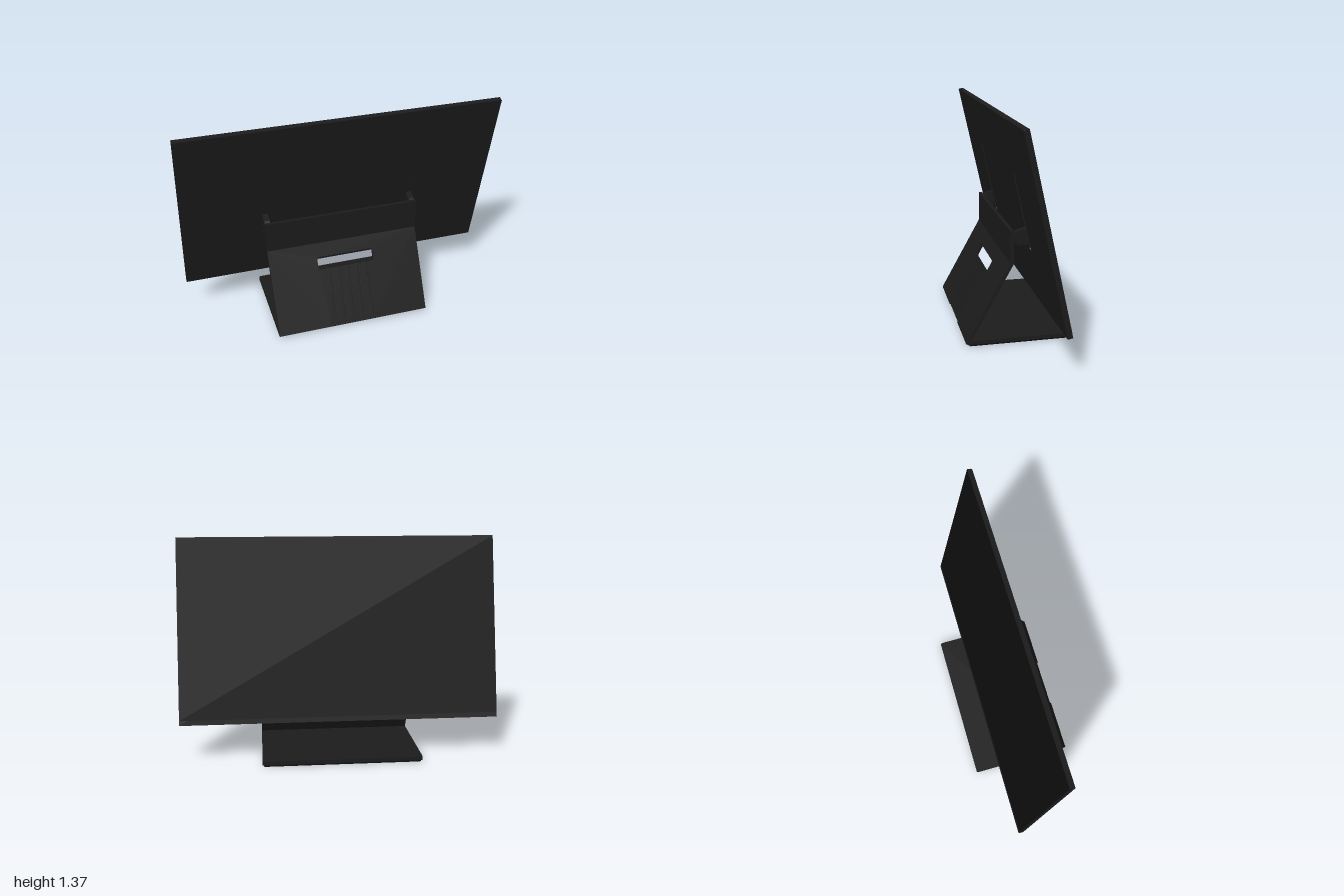
import * as THREE from 'three';

const bodyMat = new THREE.MeshStandardMaterial({ color: 0x1c1c1c });
const darkMat = new THREE.MeshStandardMaterial({ color: 0x0e0e0e });
const HALF = 0.495; // half width of the stand

function add(parent, name, geometry, material, x = 0, y = 0, z = 0) {
  const mesh = new THREE.Mesh(geometry, material);
  mesh.name = name;
  mesh.position.set(x, y, z);
  parent.add(mesh);
  return mesh;
}

// Rounded rectangle path, usable as an outline or a hole
function roundRect(Type, x0, y0, x1, y1, r) {
  const p = new Type();
  p.moveTo(x0 + r, y0);
  p.absarc(x1 - r, y0 + r, r, -Math.PI / 2, 0);
  p.absarc(x1 - r, y1 - r, r, 0, Math.PI / 2);
  p.absarc(x0 + r, y1 - r, r, Math.PI / 2, Math.PI);
  p.absarc(x0 + r, y0 + r, r, Math.PI, Math.PI * 1.5);
  return p;
}

function extrude(shape, depth) {
  return new THREE.ExtrudeGeometry(shape, { depth, bevelEnabled: false, curveSegments: 10 });
}

// Extrudes a (z, y) side profile along x, centred
function extrudeX(shape, width) {
  return extrude(shape, width).translate(0, 0, -width / 2).rotateY(-Math.PI / 2);
}

function createScreen() {
  const screen = new THREE.Group();
  screen.name = 'screen';
  screen.position.set(0, 0.796, -0.036);
  screen.rotation.x = 0.218;
  const h = 0.58;

  // Solid panel, and a thin back cover with two slide grooves
  add(screen, 'panelBody', new THREE.BoxGeometry(2, h * 2, 0.021), bodyMat, 0, 0, -0.005);
  const cover = roundRect(THREE.Shape, -1, -h, 1, h, 0.003);
  for (const s of [-1, 1]) {
    cover.holes.push(roundRect(THREE.Path, s * 0.482 - 0.023, -0.232, s * 0.482 + 0.023, 0.265, 0.02));
  }
  add(screen, 'backCover', extrude(cover, 0.01), bodyMat, 0, 0, 0.0055);

  // Display surface above a narrow chin
  add(screen, 'display', new THREE.BoxGeometry(1.996, h * 2 - 0.032, 0.002), darkMat, 0, 0.014, -0.0155);
  return screen;
}

function createLeg() {
  const leg = new THREE.Group();
  leg.name = 'leg';
  leg.position.set(0, 0.02, 0.32);
  leg.rotation.x = -Math.atan2(0.266, 0.48);
  const length = 0.5485;
  const slot = { w: 0.185, y0: 0.377, y1: 0.457, r: 0.015 };
  const recessY = 0.035;

  // Inner sheet pierced by the handle slot
  const inner = roundRect(THREE.Shape, -HALF, 0, HALF, length, 0.001);
  inner.holes.push(roundRect(THREE.Path, -slot.w, slot.y0, slot.w, slot.y1, slot.r));
  add(leg, 'legSheet', extrude(inner, 0.013), bodyMat, 0, 0, -0.02);

  // Outer skin, cut away around the slot, cable grooves and foot recess
  const half = [
    [0.16, 0], [0.16, recessY], [0.134, recessY], [0.134, slot.y0],
    [slot.w - slot.r, slot.y0], [slot.w - 0.004, slot.y0 + 0.004], [slot.w, slot.y0 + slot.r],
    [slot.w, slot.y1 - slot.r], [slot.w - 0.004, slot.y1 - 0.004], [slot.w - slot.r, slot.y1],
  ];
  const mirrored = half.map(([x, y]) => [-x, y]);
  const outline = [[HALF, 0], [HALF, length], [-HALF, length], [-HALF, 0], ...mirrored, ...half.slice().reverse()];
  const skin = new THREE.Shape(outline.map(([x, y]) => new THREE.Vector2(x, y)));
  add(leg, 'legSkin', extrude(skin, 0.007), bodyMat, 0, 0, -0.007);

  // Ribs left standing between the five cable grooves
  for (const x of [-0.0925, -0.031, 0.031, 0.0925]) {
    const rib = new THREE.BoxGeometry(0.041, slot.y0 - recessY, 0.007);
    add(leg, 'cableRib', rib, bodyMat, x, (slot.y0 + recessY) / 2, -0.0035);
  }
  return leg;
}

export function createModel() {
  const model = new THREE.Group();
  model.name = 'monitor';
  model.add(createScreen(), createLeg());

  // Base plate on a slightly inset pad
  const slab = (inset, depth) => extrude(
    roundRect(THREE.Shape, -HALF + inset, -0.313 + inset, HALF - inset, 0.313 - inset, 0.012), depth,
  ).rotateX(-Math.PI / 2);
  add(model, 'basePlate', slab(0, 0.023), bodyMat, 0, 0.012, -0.009);
  add(model, 'basePad', slab(0.008, 0.012), darkMat, 0, 0, -0.007);

  // Upright plate continuing the leg
  const upright = new THREE.Shape([
    [0.054, 0.5], [0.054, 0.697], [0.032, 0.697], [0.032, 0.498], [0.0365, 0.49],
  ].map(([z, y]) => new THREE.Vector2(z, y)));
  add(model, 'uprightPlate', extrudeX(upright, HALF * 2), bodyMat);

  // Rounded hinge knuckles reaching into the screen grooves
  const knuckle = new THREE.Shape();
  knuckle.moveTo(-0.065, 0.615);
  knuckle.lineTo(-0.015, 0.608);
  knuckle.absarc(-0.012, 0.655, 0.047, -Math.PI / 2, Math.PI / 2);
  knuckle.lineTo(-0.052, 0.713);
  for (const s of [-1, 1]) {
    add(model, 'hingeKnuckle', extrudeX(knuckle, 0.034), bodyMat, s * 0.477, 0, 0);
  }
  return model;
}
